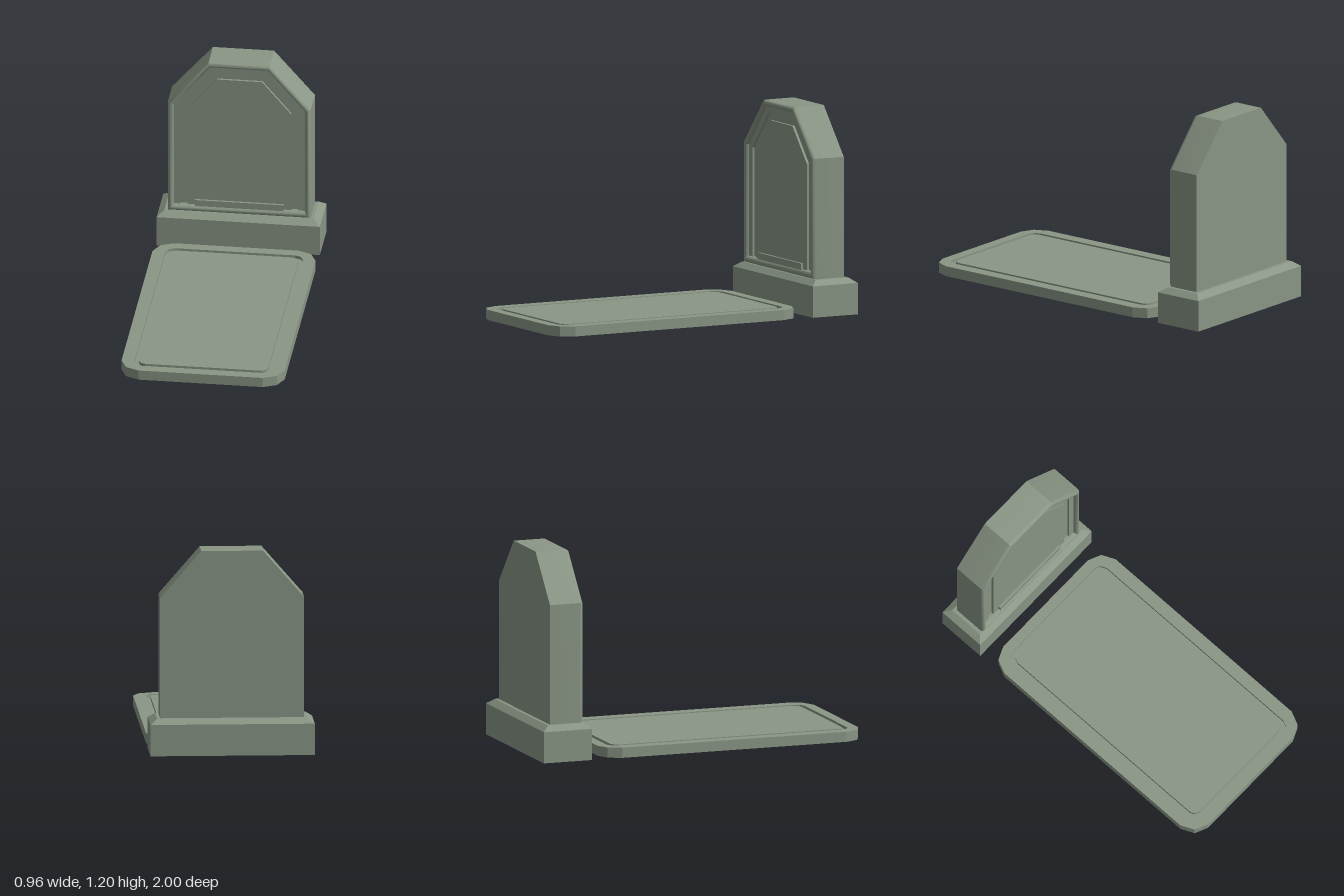
import * as THREE from 'three';
import { toCreasedNormals } from 'three/addons/utils/BufferGeometryUtils.js';

// Joins matching convex outlines (counter-clockwise, [x, y]) stacked along z; caps the last, optionally the first
function loft(rings, capStart) {
  const pos = [];
  const tri = (a, b, c) => pos.push(...a, ...b, ...c);
  const pts = rings.map(({ outline, z }) => outline.map(([x, y]) => [x, y, z]));
  const n = pts[0].length;
  for (let r = 0; r < pts.length - 1; r++) {
    for (let i = 0; i < n; i++) {
      const j = (i + 1) % n;
      const a = pts[r][i], b = pts[r][j], c = pts[r + 1][j], d = pts[r + 1][i];
      tri(a, b, c);
      tri(a, c, d);
    }
  }
  const first = pts[0], last = pts[pts.length - 1];
  for (let i = 1; i < n - 1; i++) {
    tri(last[0], last[i], last[i + 1]);
    if (capStart) tri(first[0], first[i + 1], first[i]);
  }
  const geo = new THREE.BufferGeometry();
  geo.setAttribute('position', new THREE.Float32BufferAttribute(pos, 3));
  geo.computeVertexNormals();
  return geo;
}

// Six-sided headstone outline: half width, bottom, shoulder height, half top width, top
const stoneOutline = ([w, y0, ys, t, y1]) =>
  [[-w, y0], [w, y0], [w, ys], [t, y1], [-t, y1], [-w, ys]];

// Rectangle whose corners are clipped into two facets; c is the clip size
function clippedRect(w, h, c) {
  const corner = [[w, h - c], [w - c * 0.32, h - c * 0.3], [w - c, h]];
  const mirror = (sx, sy) => corner.map(([x, y]) => [x * sx, y * sy]);
  return [
    ...mirror(1, 1),
    ...mirror(-1, 1).reverse(),
    ...mirror(-1, -1),
    ...mirror(1, -1).reverse(),
  ];
}

const rect = (w, h) => [[-w, -h], [w, -h], [w, h], [-w, h]];

export function createModel() {
  const group = new THREE.Group();
  group.name = 'grave';
  const stone = new THREE.MeshStandardMaterial({ color: 0x8a9685, side: THREE.DoubleSide });
  stone.name = 'mossy grey stone';

  const add = (name, geo) => {
    const mesh = new THREE.Mesh(geo, stone);
    mesh.name = name;
    group.add(mesh);
    return mesh;
  };

  // Headstone: body, rounded rim, then a panel with an engraved groove
  const outer = [0.42, 0.215, 0.925, 0.18, 1.2];
  const inner = [0.385, 0.255, 0.912, 0.17, 1.165];
  const grooveOut = stoneOutline([0.348, 0.255, 0.895, 0.153, 1.125]);
  const grooveIn = stoneOutline([0.305, 0.255, 0.882, 0.133, 1.083]);
  const panelZ = -0.757, grooveZ = -0.772;
  const rings = [{ outline: stoneOutline(outer), z: -0.94 }];
  const steps = 8;
  for (let i = 0; i <= steps; i++) {
    const a = (i / steps) * Math.PI;
    const t = (1 - Math.cos(a)) / 2;
    const size = outer.map((v, k) => v + (inner[k] - v) * t);
    rings.push({ outline: stoneOutline(size), z: panelZ + 0.025 * Math.sin(a) });
  }
  rings.push(
    { outline: grooveOut, z: panelZ },
    { outline: grooveOut, z: grooveZ },
    { outline: grooveIn, z: grooveZ },
    { outline: grooveIn, z: panelZ },
  );
  add('headstone', toCreasedNormals(loft(rings, true), 0.65));

  // Low ledge at the foot of the panel
  const ledge = add('panelLedge', new THREE.BoxGeometry(0.52, 0.05, 0.024));
  ledge.position.set(0, 0.265, -0.755);

  // Plinth with a bevelled top, open underneath
  const plinth = add('plinth', loft([
    { outline: rect(0.48, 0.15), z: 0 },
    { outline: rect(0.48, 0.15), z: 0.185 },
    { outline: rect(0.44, 0.11), z: 0.215 },
  ]));
  plinth.rotation.x = -Math.PI / 2;
  plinth.position.z = -0.85;

  // Ground slab with a groove around its top, open underneath
  const edge = clippedRect(0.48, 0.8125, 0.115);
  const slabOut = clippedRect(0.405, 0.75, 0.05);
  const slabIn = clippedRect(0.38, 0.723, 0.04);
  const slab = add('groundSlab', loft([
    { outline: edge, z: 0 },
    { outline: edge, z: 0.06 },
    { outline: slabOut, z: 0.06 },
    { outline: slabOut, z: 0.042 },
    { outline: slabIn, z: 0.042 },
    { outline: slabIn, z: 0.06 },
  ]));
  slab.rotation.x = -Math.PI / 2;
  slab.position.z = 0.1875;

  return group;
}
